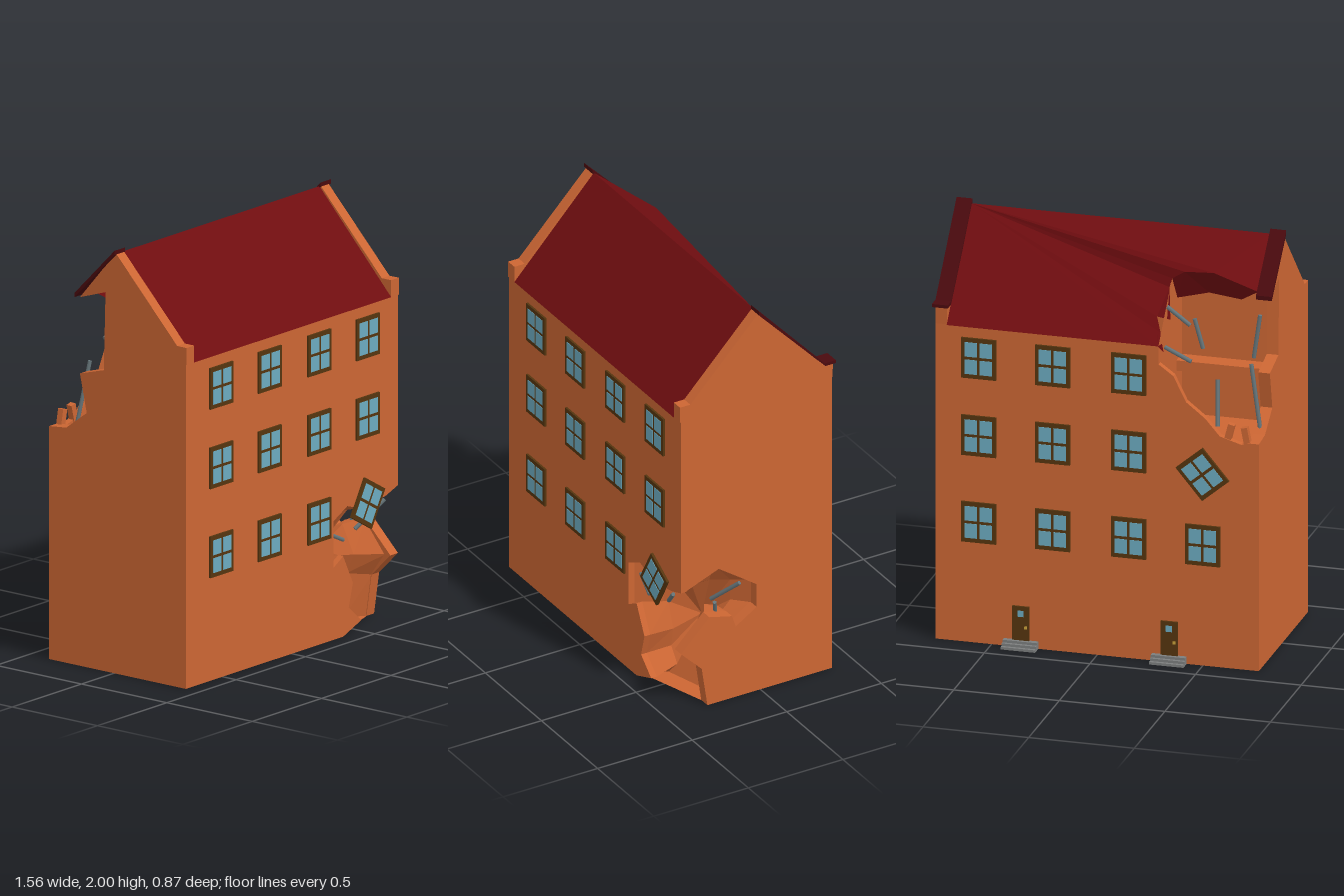
import * as THREE from 'three';

export function createModel() {
  const root = new THREE.Group();
  const mat = (name, color, double) => {
    const m = new THREE.MeshStandardMaterial({ color });
    m.name = name;
    if (double) m.side = THREE.DoubleSide;
    return m;
  };
  const brick = mat('orange plaster', 0xcc6633, true);
  const tile = mat('red roof', 0x700d10, true);
  const capMat = mat('dark red coping', 0x4a0a0e);
  const wood = mat('brown wood', 0x55350f);
  const glass = mat('blue glass', 0x6cabc0);
  const steel = mat('grey steel', 0x66757a);
  const stone = mat('grey stone', 0x7c7e7e);
  const gold = mat('brass', 0xc9a23a);

  const add = (name, geo, m, parent = root) => {
    const mesh = new THREE.Mesh(geo, m);
    mesh.name = name;
    parent.add(mesh);
    return mesh;
  };
  const box = (name, m, w, h, d, x, y, z, parent) => {
    const mesh = add(name, new THREE.BoxGeometry(w, h, d), m, parent);
    mesh.position.set(x, y, z);
    return mesh;
  };
  const slab = (pts, depth) => new THREE.ExtrudeGeometry(
    new THREE.Shape(pts.map(p => new THREE.Vector2(...p))), { depth, bevelEnabled: false });
  // flat-shaded sheet made of polygons, each drawn as a fan
  const sheet = (name, m, polys) => {
    const pos = [];
    for (const p of polys)
      for (let i = 1; i < p.length - 1; i++) pos.push(...p[0], ...p[i], ...p[i + 1]);
    const g = new THREE.BufferGeometry();
    g.setAttribute('position', new THREE.Float32BufferAttribute(pos, 3));
    g.computeVertexNormals();
    return add(name, g, m);
  };

  const X = 0.765, F = 0.42, B = -0.38;

  // broken edges of the front corner: front as [x, y], side as [z, y]
  const frontEdge = [[0.37, 0], [0.5, 0.05], [0.41, 0.13], [0.44, 0.24], [0.37, 0.38], [0.3, 0.34],
    [0.3, 0.56], [0.4, 0.61], [0.52, 0.57], [0.68, 0.6], [X, 0.63]];
  const sideEdge = [[F, 0.63], [0.4, 0.63], [0.22, 0.7], [0.02, 0.56], [0.02, 0.44], [0.13, 0.37],
    [0.15, 0.43], [0.27, 0.46], [F, 0.31], [0.31, 0.2], [0.28, 0]];

  // walls
  add('frontWall', slab([[-X, 0], ...frontEdge, [X, 1.53], [-X, 1.53]], 0.03)
    .translate(0, 0, F - 0.03), brick);
  add('backWall', slab([[-X, 0], [X, 0], [X, 1.53], [-0.29, 1.53], [-0.29, 1.44], [-0.36, 1.39],
    [-0.42, 1.27], [-0.51, 1.2], [-0.58, 1.12], [-0.68, 1.09], [-X, 1.1]], 0.03)
    .translate(0, 0, B), brick);
  const sideWall = (name, pts, x) =>
    add(name, slab(pts, 0.055).rotateY(-Math.PI / 2).translate(x, 0, 0), brick);
  const frontGable = [[0.01, 1.985], [0.37, 1.61], [F + 0.005, 1.61], [F + 0.005, 1.53], [F, 1.53]];
  sideWall('leftGableWall', [[B, 0], [B, 1.53], [B - 0.005, 1.61], [-0.33, 1.61],
    ...frontGable, ...sideEdge], X);
  sideWall('rightGableWall', [[B, 0], [B, 1.1], [-0.28, 1.11], [-0.16, 1.2], [-0.2, 1.38],
    [-0.06, 1.42], [-0.05, 1.79], [-0.2, 1.74], ...frontGable, [F, 0]], -X + 0.055);
  sheet('underside', brick, [[[-X, 0, B], [X, 0, B], [X, 0, 0.28], [0.5, 0, 0.28],
    [0.37, 0, F], [-X, 0, F]]]);

  // cavity behind the broken corner
  const rim = [...frontEdge.slice(0, -1).map(([x, y]) => [x, y, F - 0.03]),
    [X - 0.05, 0.63, F - 0.03],
    ...sideEdge.slice(1).map(([z, y]) => [X - 0.05, y, Math.min(z, F - 0.03)])];
  const core = [0.48, 0.3, 0.14];
  const inner = rim.map(([x, y, z]) => [
    x + (core[0] - x) * 0.4,
    y < 0.01 ? 0 : Math.min(0.56, y + (core[1] - y) * 0.12),
    z + (core[2] - z) * 0.45]);
  const cavity = [];
  rim.forEach((p, i) => {
    const j = (i + 1) % rim.length;
    cavity.push([p, rim[j], inner[j]], [p, inner[j], inner[i]], [inner[i], inner[j], core]);
  });
  sheet('cornerCavity', brick, cavity);

  // room opened up under the torn roof
  sheet('upperRoom', brick, [
    [[-X, 1.07, B], [-0.29, 1.07, B], [-0.29, 1.07, 0], [-X, 1.07, 0]],
    [[-0.72, 1.07, 0], [-0.29, 1.07, 0], [-0.29, 1.95, 0], [-0.72, 1.95, 0]],
    [[-0.29, 1.07, 0], [-0.29, 1.07, B], [-0.29, 1.53, B], [-0.29, 1.96, 0]]]);
  box('brokenFloor', brick, 0.43, 0.05, 0.1, -0.5, 1.33, -0.04);
  for (const [x, h, r] of [[-0.62, 0.1, 0.25], [-0.7, 0.08, -0.2]])
    box('wallShard', brick, 0.03, h, 0.03, x, 1.13, B + 0.02).rotation.z = r;

  // roof, with a tear and a bent flap on the back slope
  const rx = 0.71, ridgeL = [-rx, 1.98, 0.005], ridgeR = [rx, 1.98, 0.005];
  sheet('frontRoof', tile, [
    [[-rx, 1.53, F + 0.005], [rx, 1.53, F + 0.005], ridgeR, ridgeL]]);
  const tear = [-0.3, 1.79, -0.19];
  sheet('backRoof', tile, [
    [ridgeR, [rx, 1.53, -0.39], [-0.29, 1.53, -0.39], [-0.29, 1.58, -0.345],
      [-0.26, 1.64, -0.3], [-0.29, 1.75, -0.2], tear],
    [ridgeR, tear, [-0.36, 1.83, -0.195]],
    [ridgeR, [-0.36, 1.83, -0.195], [-0.5, 1.84, -0.2], ridgeL],
    [ridgeL, [-0.5, 1.84, -0.2], [-rx, 1.77, -0.2]]]);
  sheet('tornRoofEdge', tile, [
    [tear, [-0.36, 1.83, -0.195], [-0.31, 1.68, -0.14]],
    [[-0.36, 1.83, -0.195], [-0.5, 1.84, -0.2], [-0.46, 1.72, -0.14], [-0.31, 1.68, -0.14]],
    [[-0.5, 1.84, -0.2], [-rx, 1.77, -0.2], [-0.62, 1.71, -0.16], [-0.46, 1.72, -0.14]],
    [[-0.29, 1.75, -0.2], [-0.26, 1.64, -0.3], [-0.3, 1.6, -0.22]],
    [[-0.26, 1.64, -0.3], [-0.29, 1.53, -0.39], [-0.3, 1.48, -0.33]]]);

  // coping on the back slopes of the gables
  const coping = (name, pts, x) =>
    add(name, slab(pts, 0.075).rotateY(-Math.PI / 2).translate(x, 0, 0), capMat);
  coping('leftCoping', [[0.015, 1.98], [0.015, 2], [-0.33, 1.625], [-0.39, 1.625], [-0.39, 1.61],
    [-0.335, 1.61]], 0.78);
  coping('rightCoping', [[0.015, 1.98], [0.015, 2], [-0.22, 1.76], [-0.22, 1.74]], -0.705);

  // windows
  const window4 = (x, y, z, back, tilt = 0) => {
    const g = new THREE.Group();
    g.name = 'window';
    box('frame', wood, 0.165, 0.195, 0.014, 0, 0, 0, g);
    for (const sx of [-1, 1]) for (const sy of [-1, 1])
      box('pane', glass, 0.059, 0.07, 0.006, sx * 0.036, sy * 0.042, 0.006, g);
    g.position.set(x, y, z);
    g.rotation.set(0, back ? Math.PI : 0, tilt);
    root.add(g);
    return g;
  };
  const rows = [1.38, 1.005, 0.585];
  rows.forEach((y, r) => {
    [-0.515, -0.167, 0.19, 0.54].forEach((x, c) => {
      if (r === 2 && c === 3) window4(x, 0.595, F + 0.005, false, -0.52);
      else window4(x, y, F + 0.003, false);
    });
    [0.56, 0.21, -0.15, -0.5].forEach((x, c) => {
      if (c < 3 || r === 2) window4(x, y, B - 0.003, true);
      else if (r === 1) window4(x, 0.93, B - 0.006, true, 0.7);
    });
  });

  // back doors and their steps
  for (const x of [0.36, -0.342]) {
    box('door', wood, 0.08, 0.2, 0.012, x, 0.1, B - 0.004);
    box('doorPane', glass, 0.03, 0.03, 0.004, x, 0.165, B - 0.009);
    box('knob', gold, 0.012, 0.012, 0.01, x - 0.025, 0.1, B - 0.012);
    for (let i = 0; i < 3; i++) {
      const d = 0.055 - i * 0.015;
      box('step', stone, 0.163, 0.012, d, x, 0.006 + i * 0.012, B - d / 2);
    }
  }

  // exposed steel bars
  const bar = (a, b) => {
    const p = new THREE.Vector3(...a), q = new THREE.Vector3(...b);
    const mesh = add('steelBar', new THREE.CylinderGeometry(0.01, 0.01, p.distanceTo(q), 6), steel);
    mesh.position.copy(p).lerp(q, 0.5);
    mesh.quaternion.setFromUnitVectors(new THREE.Vector3(0, 1, 0), q.sub(p).normalize());
  };
  [
    [[0.3, 0.5, 0.36], [0.42, 0.44, 0.38]],
    [[0.54, 0.46, 0.35], [0.68, 0.58, 0.41]],
    [[0.61, 0.45, 0.17], [0.73, 0.57, 0.09]],
    [[0.7, 0.44, 0.2], [0.72, 0.5, 0.215]],
    [[-0.43, 1.45, -0.33], [-0.3, 1.5, -0.31]],
    [[-0.4, 1.59, -0.24], [-0.29, 1.67, -0.24]],
    [[-0.55, 1.14, -0.31], [-0.53, 1.34, -0.24]],
    [[-0.74, 1.08, -0.25], [-0.68, 1.42, -0.21]],
    [[-0.66, 1.41, -0.1], [-0.69, 1.62, -0.1]],
    [[-0.42, 1.43, -0.1], [-0.38, 1.57, -0.1]],
  ].forEach(([a, b]) => bar(a, b));

  return root;
}
